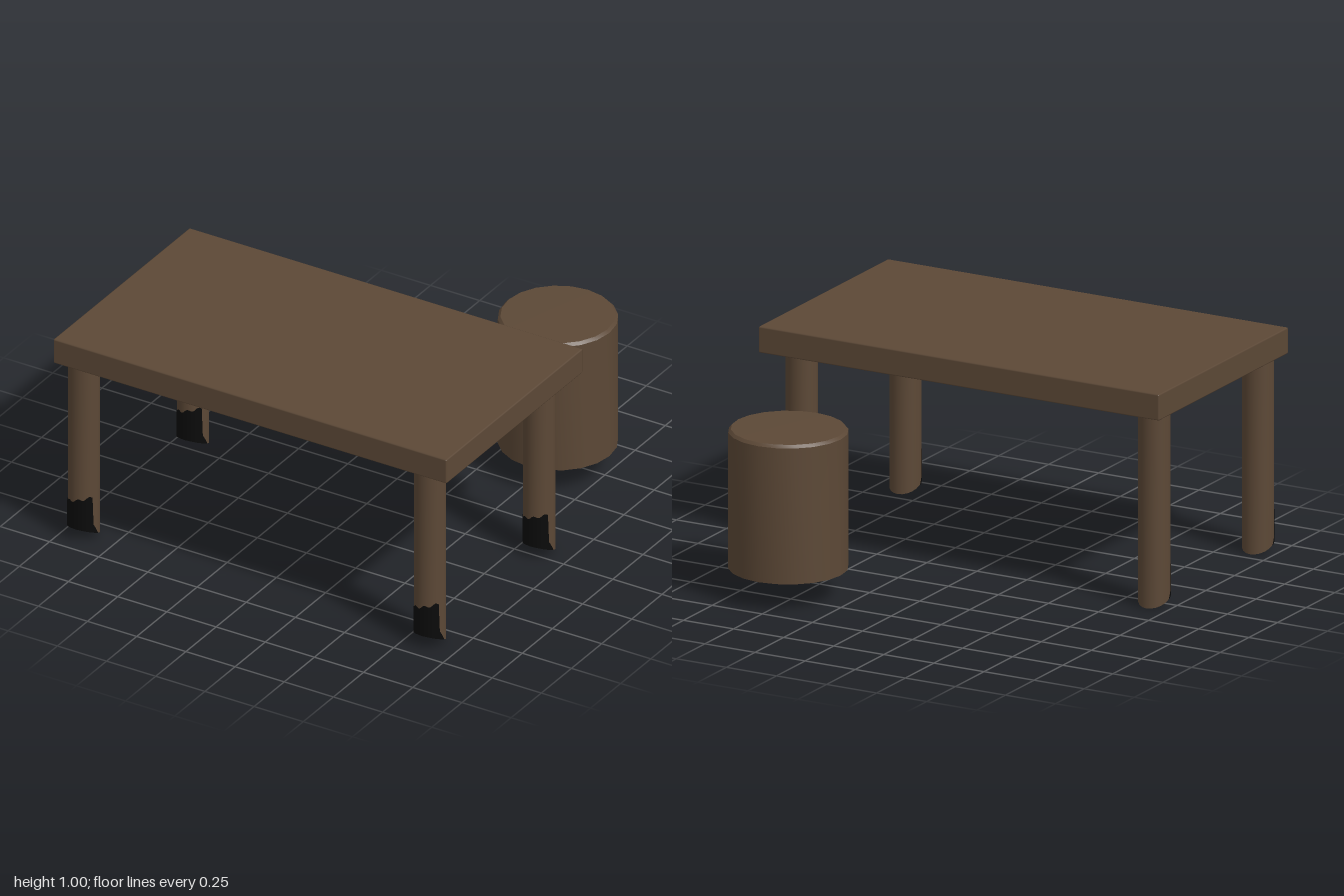
import * as THREE from 'three';
import { toCreasedNormals } from 'three/addons/utils/BufferGeometryUtils.js';
import { RoundedBoxGeometry } from 'three/addons/geometries/RoundedBoxGeometry.js';

const wood = new THREE.MeshStandardMaterial({ color: 0x5c4836 });
wood.name = 'brown wood';
const char = new THREE.MeshStandardMaterial({ color: 0x0a0a0a, side: THREE.DoubleSide });
char.name = 'charred black';

const LEG_R = 0.07;
const LEG_TOP = 0.89;
// Height of the slanted foot cut, rising toward the front
const cutHeight = (z) => 0.031 + 0.031 * THREE.MathUtils.clamp(z / LEG_R, -1, 1);

function mesh(name, geometry, material) {
  const m = new THREE.Mesh(geometry, material);
  m.name = name;
  return m;
}

// Round leg whose bottom is cut at a slant; the cut face is charred
function legGeometry() {
  const g = new THREE.CylinderGeometry(LEG_R, LEG_R, LEG_TOP, 20);
  g.translate(0, LEG_TOP / 2, 0);
  const p = g.attributes.position;
  for (let i = 0; i < p.count; i++) {
    if (p.getY(i) < 0.01) p.setY(i, cutHeight(p.getZ(i)));
  }
  return toCreasedNormals(g, 0.6);
}

// Thin charred skin wrapping the front of a foot, with a ragged upper edge
function scorchGeometry() {
  const cols = 40;
  const r = LEG_R + 0.002;
  const g = new THREE.CylinderGeometry(r, r, 1, cols, 1, true, -Math.PI / 2, Math.PI);
  const p = g.attributes.position;
  for (let i = 0; i < p.count; i++) {
    const angle = Math.atan2(p.getX(i), p.getZ(i));
    const low = cutHeight(p.getZ(i));
    const side = Math.abs(angle);
    let high = 0.205 + 0.018 * Math.sin(angle * 1.3) + 0.006 * Math.sin(angle * 9);
    if (side > 1.1) high = THREE.MathUtils.lerp(0.09, low, (side - 1.1) / (Math.PI / 2 - 1.1));
    p.setY(i, p.getY(i) > 0 ? high : low);
  }
  return g;
}

// Ragged round burn mark, lying face down
function burnGeometry(radius) {
  const points = [];
  for (let i = 0; i < 48; i++) {
    const a = (i / 48) * Math.PI * 2;
    const r = radius * (1 + 0.02 * Math.sin(a * 7) + 0.02 * Math.sin(a * 13 + 1));
    points.push(new THREE.Vector2(r * Math.cos(a), r * Math.sin(a)));
  }
  return new THREE.ShapeGeometry(new THREE.Shape(points)).rotateX(Math.PI / 2);
}

export function createModel() {
  const model = new THREE.Group();
  model.name = 'tableAndStool';

  // Table
  const table = new THREE.Group();
  table.name = 'table';
  const top = mesh('tableTop', new RoundedBoxGeometry(2, 0.12, 1.13, 1, 0.007), wood);
  top.position.set(0, 0.94, 0.405);
  const burn = mesh('undersideBurn', burnGeometry(0.33), char);
  burn.position.set(0, 0.877, 0.405);
  table.add(top, burn);

  const legGeo = legGeometry();
  const scorchGeo = scorchGeometry();
  for (const x of [-0.905, 0.855]) {
    for (const z of [0.87, -0.035]) {
      const leg = new THREE.Group();
      leg.name = `${z > 0 ? 'front' : 'back'}${x > 0 ? 'Left' : 'Right'}Leg`;
      leg.add(mesh('legPost', legGeo, [wood, wood, char]), mesh('footScorch', scorchGeo, char));
      leg.position.set(x, 0, z);
      table.add(leg);
    }
  }

  // Round stool with a softened upper rim
  const stool = new THREE.Group();
  stool.name = 'stool';
  const profile = [[0, 0.13], [0.262, 0.13], [0.262, 0.747], [0.25, 0.76], [0, 0.762]]
    .map(([r, y]) => new THREE.Vector2(r, y));
  stool.add(mesh('stoolBody', toCreasedNormals(new THREE.LatheGeometry(profile, 20), 0.6), wood));

  // Small scorch spot near the rim
  const spot = mesh('stoolScorch', new THREE.CircleGeometry(0.01, 12), char);
  const spotAngle = 0.342;
  spot.scale.y = 1.6;
  spot.rotation.y = spotAngle;
  spot.position.set(0.263 * Math.sin(spotAngle), 0.732, 0.263 * Math.cos(spotAngle));
  stool.add(spot);
  stool.position.set(0.537, 0, -0.708);

  model.add(table, stool);
  return model;
}
